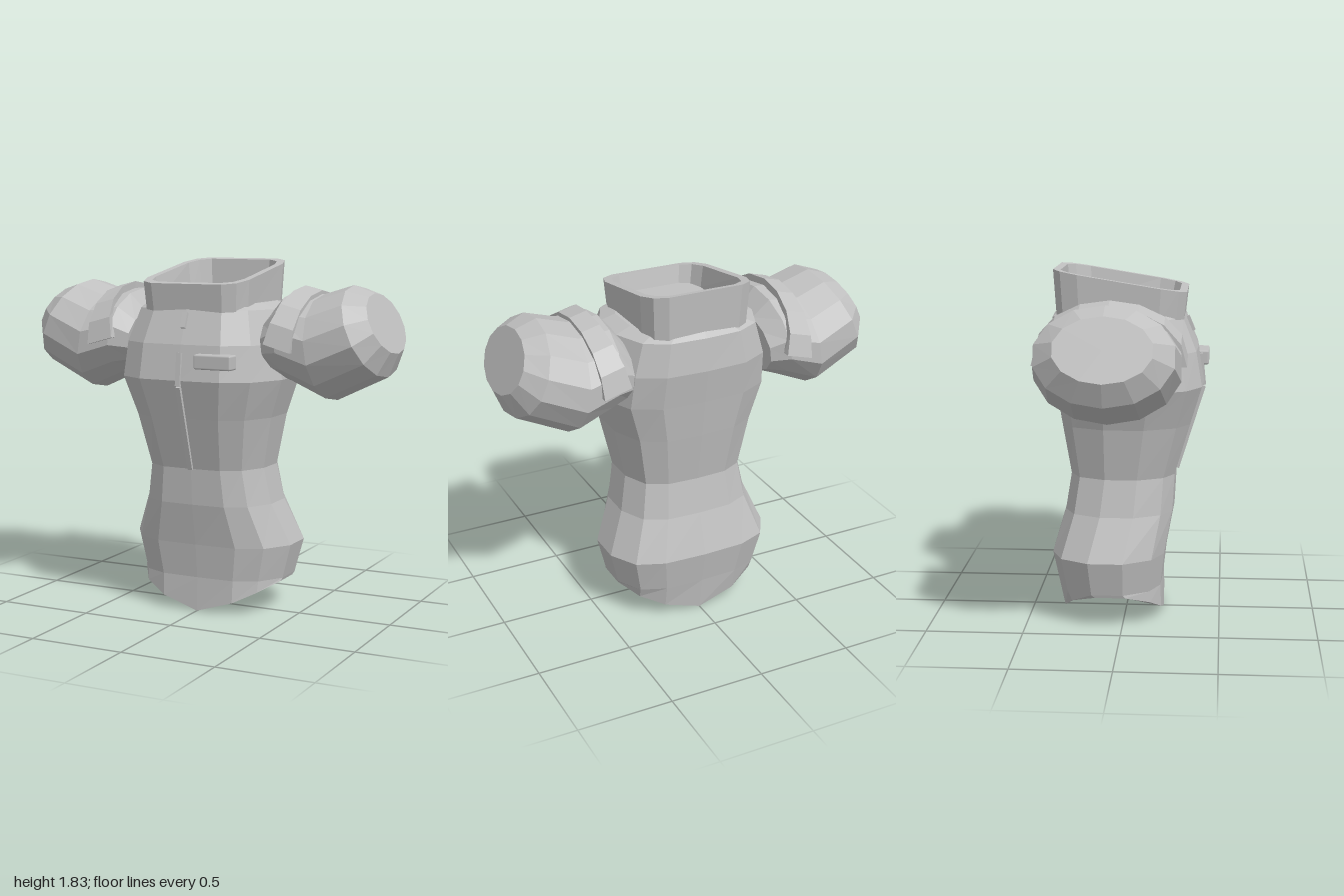
import * as THREE from 'three';
import { RoundedBoxGeometry } from 'three/addons/geometries/RoundedBoxGeometry.js';

const fabric = new THREE.MeshStandardMaterial({ color: 0xc0c0c0 });
fabric.name = 'grey fabric';

// Skin closed rings of [x, y, z]; start / end are optional fan centres that close the ends
function loft(rings, start, end) {
  const pos = [];
  const tri = (...p) => p.forEach((v) => pos.push(...v));
  const n = rings[0].length;
  for (let j = 0; j < n; j++) {
    const k = (j + 1) % n;
    for (let i = 0; i < rings.length - 1; i++) {
      const [a, b, c, d] = [rings[i][j], rings[i][k], rings[i + 1][k], rings[i + 1][j]];
      tri(a, b, c);
      tri(a, c, d);
    }
    if (start) tri(rings[0][k], rings[0][j], start);
    if (end) tri(rings.at(-1)[j], rings.at(-1)[k], end);
  }
  const g = new THREE.BufferGeometry();
  g.setAttribute('position', new THREE.Float32BufferAttribute(pos, 3));
  g.computeVertexNormals(); // unshared corners give flat facets
  return g;
}

const middle = (ring) => [0, 1, 2].map((k) => ring.reduce((s, p) => s + p[k], 0) / ring.length);

// Horizontal ring from a unit outline
function flatRing(outline, hx, zf, zb, yAt) {
  return outline.map(([u, v]) => {
    const x = u * hx, z = (zf + zb) / 2 + (v * (zf - zb)) / 2;
    return [x, yAt(x, z), z];
  });
}

function torso() {
  const half = [[0.5, 0.98], [0.8, 0.78], [1, 0.3], [1, -0.3], [0.82, -0.78], [0.5, -0.97]];
  const outline = [[0, 1], ...half, [0, -1], ...half.map(([u, v]) => [-u, v]).reverse()];
  // y, half width, front z, back z
  const rows = [
    [0.18, 0.405, 0.195, -0.345], [0.36, 0.45, 0.215, -0.38], [0.58, 0.36, 0.255, -0.315],
    [0.77, 0.325, 0.265, -0.285], [1.04, 0.38, 0.345, -0.33], [1.24, 0.45, 0.405, -0.36],
    [1.42, 0.435, 0.375, -0.39], [1.59, 0.38, 0.305, -0.375], [1.62, 0.3, 0.26, -0.34],
  ];
  // Hem dips to a point at front and back
  const hem = flatRing(outline, 0.4, 0.2, -0.32, (x) => 0.165 * (Math.abs(x) / 0.4) ** 1.4);
  const rings = [hem, ...rows.map(([y, hx, zf, zb]) => flatRing(outline, hx, zf, zb, () => y))];
  return loft(rings, [0, 0.07, -0.2], [0, 1.62, -0.04]);
}

function collar() {
  const q = [[0.68, 1], [0.9, 0.88], [1, 0.62]];
  const side = [...q, ...q.map(([u, v]) => [u, -v]).reverse()];
  const outline = [...side, ...side.map(([u, v]) => [-u, v]).reverse()];
  const rim = (x, z) => 1.772 - 0.162 * z;
  const rings = [
    flatRing(outline, 0.28, 0.3, -0.345, (x, z) => 1.575 - 0.06 * z),
    flatRing(outline, 0.292, 0.318, -0.36, rim),
    flatRing(outline, 0.255, 0.28, -0.325, rim),
    flatRing(outline, 0.235, 0.26, -0.31, () => 1.635),
  ];
  return loft(rings, null, middle(rings[3]));
}

const SLEEVE_Z = -0.05;

// Bent puffed sleeve: each row is top x, top y, bottom x, bottom y, half depth
function sleeve(s) {
  const rows = [
    [0.36, 1.58, 0.4, 1.25, 0.3], [0.44, 1.675, 0.5, 1.21, 0.35], [0.6, 1.665, 0.68, 1.13, 0.365],
    [0.76, 1.715, 0.95, 1.26, 0.34], [0.87, 1.677, 1.0, 1.38, 0.238],
  ];
  const n = 14;
  const rings = rows.map(([tx, ty, bx, by, w]) => Array.from({ length: n }, (_, j) => {
    const t = (j / n) * Math.PI * 2, c = (1 + Math.cos(t)) / 2;
    return [s * (bx + (tx - bx) * c), by + (ty - by) * c, SLEEVE_Z + s * w * Math.sin(t)];
  }));
  return loft(rings, middle(rings[0]), middle(rings.at(-1)));
}

// Strap arched over the top of the sleeve
function strap(s) {
  const n = 8;
  // foot x, foot y, top x, top y, half depth
  const corners = [
    [0.43, 1.435, 0.497, 1.708, 0.38], [0.572, 1.395, 0.588, 1.685, 0.38],
    [0.572, 1.395, 0.588, 1.62, 0.34], [0.43, 1.435, 0.497, 1.64, 0.34],
  ];
  const rings = Array.from({ length: n + 1 }, (_, i) => {
    const t = (i / n) * Math.PI, h = Math.sin(t);
    return corners.map(([fx, fy, tx, ty, w]) =>
      [s * (fx + (tx - fx) * h), fy + (ty - fy) * h, SLEEVE_Z + s * w * Math.cos(t)]);
  });
  return loft(rings, middle(rings[0]), middle(rings[n]));
}

export function createModel() {
  const group = new THREE.Group();
  const add = (name, geometry) => {
    const mesh = new THREE.Mesh(geometry, fabric);
    mesh.name = name;
    group.add(mesh);
    return mesh;
  };

  add('torso', torso());
  add('collar', collar());
  for (const [s, label] of [[1, 'left'], [-1, 'right']]) {
    add(label + 'Sleeve', sleeve(s));
    add(label + 'ShoulderStrap', strap(s));
  }

  // Front zip in straight pieces: y and z of the lower and upper ends
  const zip = [[0.77, 0.266, 1.21, 0.402], [1.215, 0.403, 1.38, 0.386], [1.5, 0.346, 1.575, 0.315]];
  zip.forEach(([y0, z0, y1, z1], i) => {
    const piece = add('zip' + (i + 1), new THREE.BoxGeometry(0.026, Math.hypot(y1 - y0, z1 - z0), 0.024));
    piece.position.set(0, (y0 + y1) / 2, (z0 + z1) / 2);
    piece.rotation.x = Math.atan2(z1 - z0, y1 - y0);
  });

  // Raised chest tag
  add('chestTag', new RoundedBoxGeometry(0.205, 0.075, 0.08, 1, 0.01)).position.set(0.198, 1.342, 0.388);

  return group;
}
